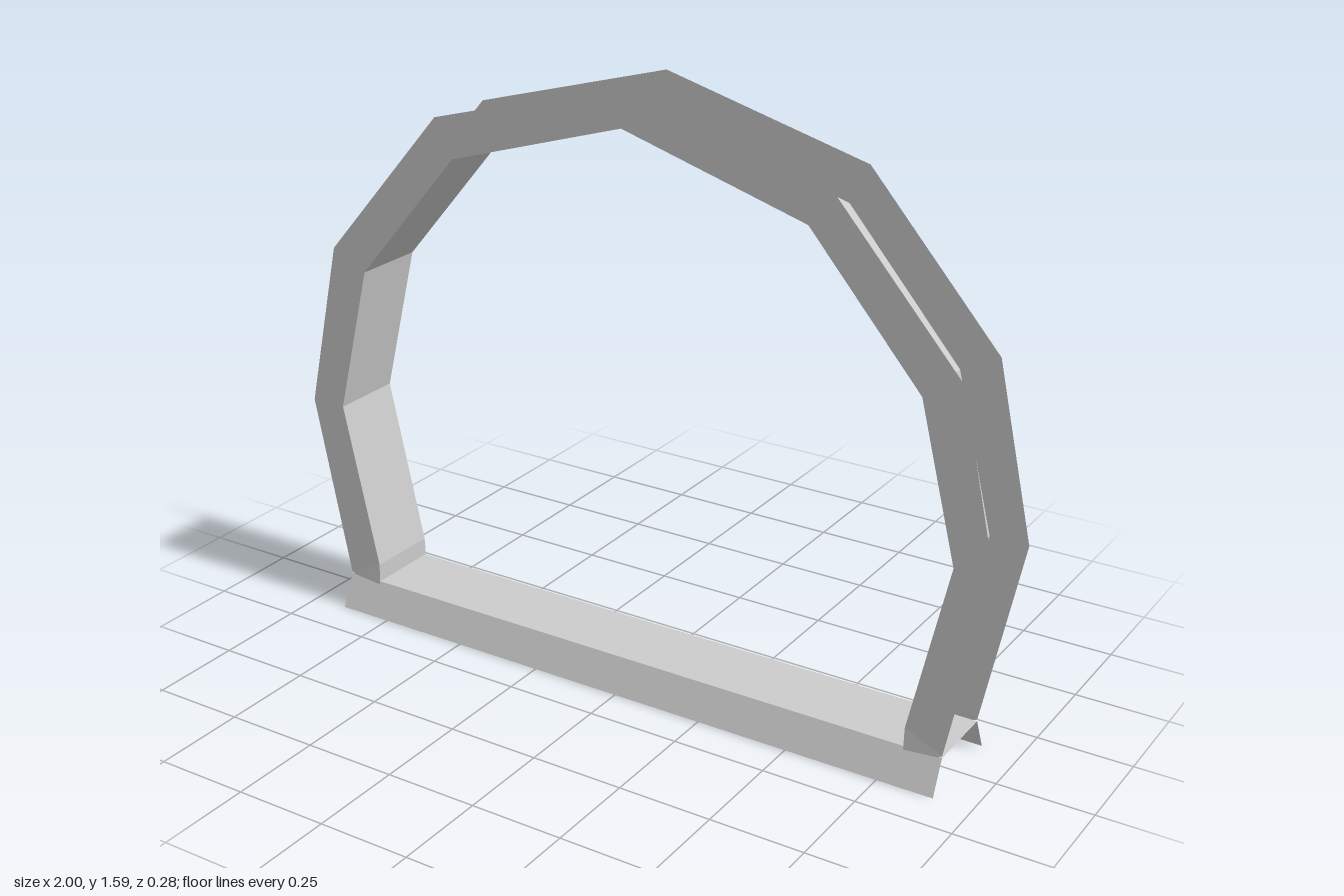
import * as THREE from 'three';

const material = new THREE.MeshStandardMaterial({
  color: 0xcccccc, flatShading: true, side: THREE.DoubleSide,
});

// Thin sheet joining consecutive open cross-sections (arrays of [x, y, z])
function sheet(name, sections) {
  const n = sections[0].length;
  const index = [];
  for (let i = 0; i < sections.length - 1; i++) {
    for (let j = 0; j < n - 1; j++) {
      const a = i * n + j, b = a + n;
      index.push(a, b, a + 1, a + 1, b, b + 1);
    }
  }
  const geometry = new THREE.BufferGeometry();
  geometry.setAttribute('position', new THREE.Float32BufferAttribute(sections.flat(2), 3));
  geometry.setIndex(index);
  const flat = geometry.toNonIndexed();
  flat.computeVertexNormals();
  const mesh = new THREE.Mesh(flat, material);
  mesh.name = name;
  return mesh;
}

export function createModel() {
  const group = new THREE.Group();
  group.name = 'archFrame';

  // Half profile of the arch: inner x, y, outer x, y, half depth at the inner edge
  const half = [
    [0.8, 0.04, 0.9, 0.095, 0.106],
    [0.8, 0.14, 0.9, 0.095, 0.1],
    [0.9, 0.59, 1.0, 0.59, 0.1],
    [0.8, 0.99, 0.9, 1.04, 0.1],
    [0.5, 1.34, 0.55, 1.44, 0.1],
  ];
  const mirrored = half.map(([ix, iy, ox, oy, d]) => [-ix, iy, -ox, oy, d]).reverse();
  const profile = [...half, [0, 1.49, 0, 1.59, 0.1], ...mirrored];

  // Arch: channel open to the outside, with front and back flanges
  group.add(sheet('archChannel', profile.map(([ix, iy, ox, oy, d]) => [
    [ox, oy, 0.1], [ix, iy, d], [ix, iy, -d], [ox, oy, -0.1],
  ])));

  // Sill: channel open downwards, with splayed flanges
  group.add(sheet('sillChannel', [-0.9, 0.9].map((x) => [
    [x, 0, 0.14], [x, 0.09, 0.1], [x, 0.09, -0.1], [x, 0, -0.14],
  ])));

  return group;
}
